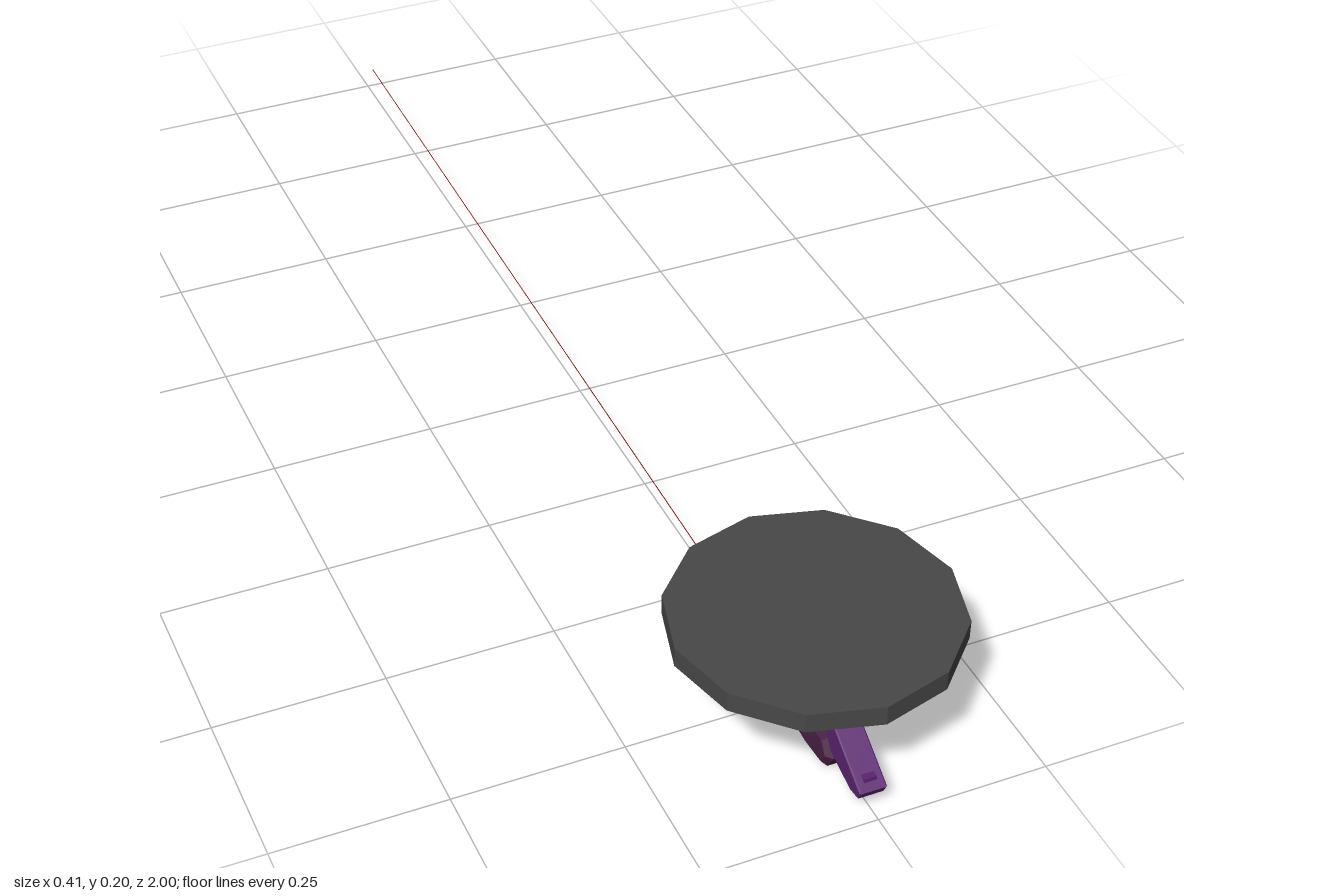
import * as THREE from 'three';

const mat = (color, flatShading = true) => new THREE.MeshStandardMaterial({ color, flatShading });

// Side profile given as [z, y] points, extruded along x with chamfered edges
function sideExtrude(name, points, width, bevel, material) {
  const shape = new THREE.Shape(points.map(([z, y]) => new THREE.Vector2(z, y)));
  const depth = width - 2 * bevel;
  const geo = new THREE.ExtrudeGeometry(shape, {
    depth, bevelSize: bevel, bevelThickness: bevel, bevelOffset: -bevel, bevelSegments: 1,
  });
  geo.translate(0, 0, -depth / 2);
  geo.rotateY(-Math.PI / 2);
  const mesh = new THREE.Mesh(geo, material);
  mesh.name = name;
  return mesh;
}

export function createModel() {
  const group = new THREE.Group();
  const purple = mat(0x5c2470);
  const plum = mat(0x4a2145);

  // Twelve-sided mounting plate with a lighter disc on its underside
  const plate = new THREE.Mesh(new THREE.CylinderGeometry(0.203, 0.203, 0.03, 12), mat(0x484848));
  plate.name = 'mountingPlate';
  plate.position.set(0, 0.185, 0.797);
  group.add(plate);

  const disc = new THREE.Mesh(new THREE.CylinderGeometry(0.166, 0.166, 0.004, 12), mat(0x868686));
  disc.name = 'undersideDisc';
  disc.position.set(0, 0.171, 0.797);
  group.add(disc);

  // Bent bracket: wedge under the plate, then an arm leaning forward
  group.add(sideExtrude('bracketArm', [
    [0.96, 0.186], [0.881, 0.1], [0.983, 0.037], [0.976, 0.023],
    [0.955, 0.02], [0.895, 0.038], [0.868, 0.076], [0.7, 0.186],
  ], 0.04, 0.002, purple));

  // Small catch on the sloping front of the arm
  const armCatch = new THREE.Mesh(new THREE.BoxGeometry(0.018, 0.008, 0.012), purple);
  armCatch.name = 'armCatch';
  armCatch.position.set(0, 0.046, 0.966);
  group.add(armCatch);

  // Chamfered housing
  group.add(sideExtrude('housing', [
    [0.905, 0.03], [0.888, 0.055], [0.81, 0.055],
    [0.778, 0.03], [0.8, 0.004], [0.84, 0], [0.89, 0.004],
  ], 0.054, 0.008, plum));

  // Barrel pointing backwards
  const barrel = new THREE.Mesh(new THREE.CylinderGeometry(0.008, 0.008, 0.13, 6), plum);
  barrel.name = 'barrel';
  barrel.rotation.x = Math.PI / 2;
  barrel.position.set(0, 0.029, 0.76);
  group.add(barrel);

  // Hair-thin beam, rising and drifting slightly to the rear
  const start = new THREE.Vector3(0, 0.015, 0.8);
  const end = new THREE.Vector3(0.011, 0.032, -1);
  const path = new THREE.LineCurve3(start, end);
  const beam = new THREE.Mesh(new THREE.TubeGeometry(path, 1, 0.0007, 16), mat(0x7a1c1c, false));
  beam.name = 'beam';
  group.add(beam);

  return group;
}
